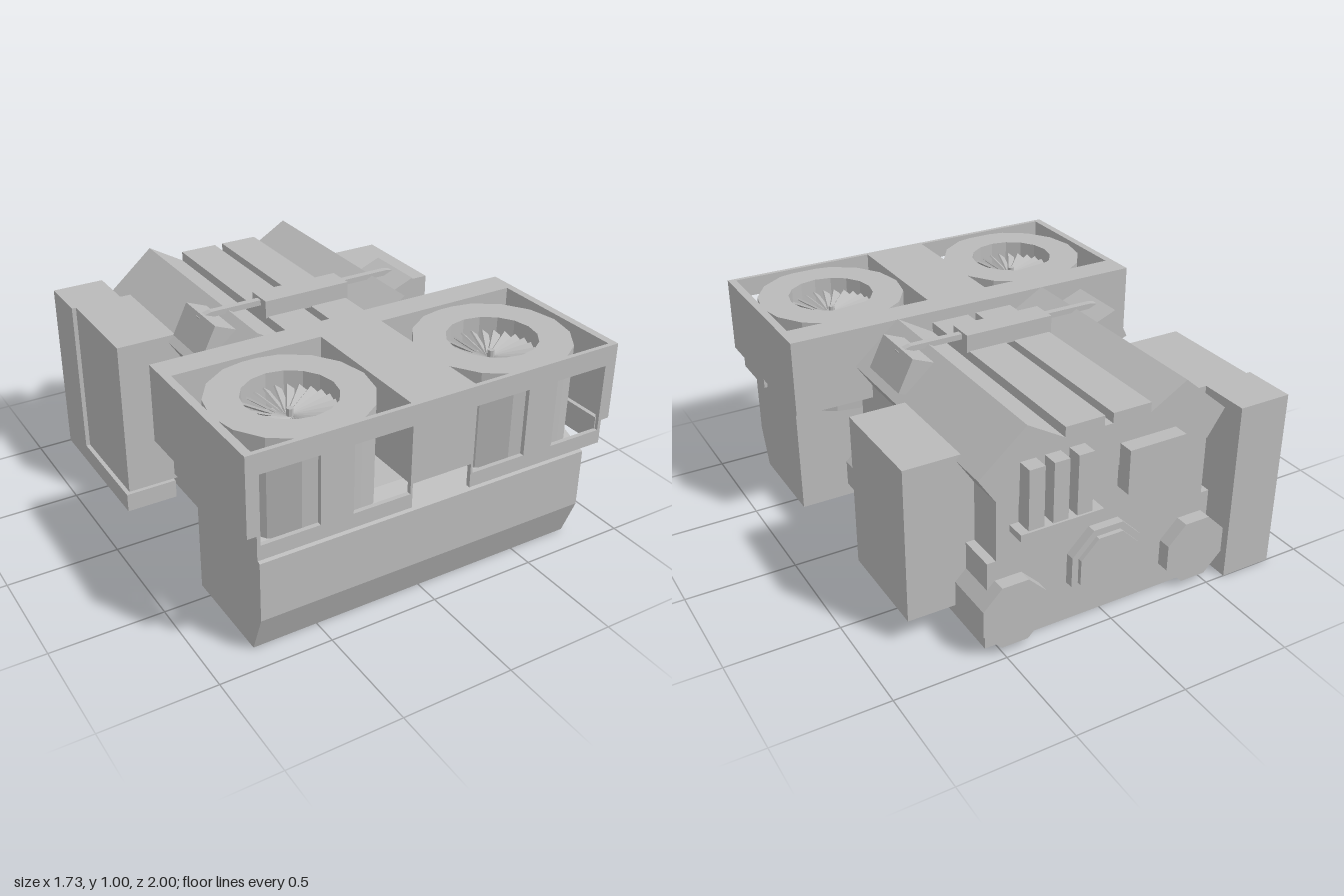
import * as THREE from 'three';

export function createModel() {
  const model = new THREE.Group();
  const grey = new THREE.MeshStandardMaterial({ color: 0xbababa });
  grey.name = 'plain grey';

  function add(name, geometry, parent = model) {
    // Unshared corners with per-face normals keep every facet crisp
    const g = geometry.index ? geometry.toNonIndexed() : geometry;
    g.computeVertexNormals();
    const mesh = new THREE.Mesh(g, grey);
    mesh.name = name;
    parent.add(mesh);
    return mesh;
  }
  // Box given by its limits on each axis
  function box(name, x0, x1, y0, y1, z0, z1, parent) {
    const g = new THREE.BoxGeometry(x1 - x0, y1 - y0, z1 - z0);
    g.translate((x0 + x1) / 2, (y0 + y1) / 2, (z0 + z1) / 2);
    return add(name, g, parent);
  }
  const outline = (pts) => new THREE.Shape(pts.map(([x, y]) => new THREE.Vector2(x, y)));
  // Cross-section in x and y, run from z0 to z1
  function prism(name, shape, z0, z1, parent) {
    const g = new THREE.ExtrudeGeometry(shape, { depth: z1 - z0, bevelEnabled: false });
    g.translate(0, 0, z0);
    return add(name, g, parent);
  }
  // Mirror a right-hand half section into a full closed outline
  const symmetric = (half) => outline([...half, ...half.slice().reverse().map(([x, y]) => [-x, y])]);
  const flip = (pts, s) => outline(pts.map(([x, y]) => [s * x, y]));
  // Eight-sided bar along z with flat sides upright
  function octagon(name, x, y, r, z0, z1) {
    const g = new THREE.CylinderGeometry(r / Math.cos(Math.PI / 8), r / Math.cos(Math.PI / 8), z1 - z0, 8);
    g.rotateY(Math.PI / 8);
    g.rotateX(Math.PI / 2);
    g.translate(x, y, (z0 + z1) / 2);
    return add(name, g);
  }

  // Front tank with chamfered nose
  const tank = new THREE.ExtrudeGeometry(
    outline([[0.42, 0], [0.88, 0], [0.95, 0.18], [0.95, 0.45], [0.81, 0.51], [0.42, 0.51]]),
    { depth: 1.58, bevelEnabled: false });
  tank.translate(0, 0, -0.79);
  tank.rotateY(-Math.PI / 2);
  add('frontTank', tank);
  box('upperConnector', -0.45, 0.45, 0.32, 0.41, 0.3, 0.43);
  box('lowerConnector', -0.45, 0.45, 0.1, 0.2, 0.3, 0.43);

  // Engine block
  box('basePlate', -0.55, 0.55, 0, 0.07, -0.91, 0.32);
  prism('engineBlock', symmetric([[0.47, 0.06], [0.47, 0.28], [0.54, 0.28], [0.54, 0.41],
    [0.5, 0.41], [0.5, 0.69]]), -0.91, 0.32);
  prism('upperBlock', symmetric([[0.5, 0.68], [0.58, 0.8], [0.37, 0.98], [0.2, 0.88]]), -0.915, 0.18);
  for (const s of [-1, 1]) {
    box('valleyPlate', s < 0 ? -0.2 : 0.02, s < 0 ? -0.02 : 0.2, 0.86, 0.925, -0.915, 0.18);
    octagon('sideTube', s * 0.445, 0.175, 0.145, -0.97, 0.34);
    prism('bankCap', flip([[0.4, 0.95], [0.47, 0.81], [0.57, 0.85], [0.5, 0.99]], s), -0.23, 0.05);
  }

  // Crossbar over the banks
  prism('crossbar', symmetric([[0.51, 0.965], [0.51, 0.975], [0.45, 0.99]]), -0.115, -0.085);
  box('crossbarBlock', -0.21, 0.21, 0.92, 1, -0.16, -0.04);

  // Rear fittings
  octagon('rearCover', 0, 0.26, 0.17, -0.95, -0.9);
  octagon('rearCoverCap', 0, 0.26, 0.14, -0.97, -0.94);
  box('rearShelf', 0.06, 0.44, 0.53, 0.56, -0.995, -0.9);
  for (const x of [0.11, 0.22, 0.33]) box('rearPost', x, x + 0.07, 0.56, 0.83, -0.985, -0.9);
  box('rearBox', -0.33, -0.06, 0.58, 0.78, -0.985, -0.9);

  // Side boxes
  box('leftSideBox', 0.5, 0.805, 0.12, 0.82, -0.74, -0.26);
  box('rightTower', -0.84, -0.595, 0, 0.83, -1, -0.76);
  box('rightCabinet', -0.82, -0.5, 0.09, 0.83, -0.77, -0.27);
  box('rightFoot', -0.84, -0.595, 0, 0.09, -0.77, -0.25);

  // Fan housing: rear and middle blocks, side walls, front panel with windows
  const housing = new THREE.Group();
  housing.name = 'fanHousing';
  model.add(housing);
  box('rearBeam', -0.865, 0.865, 0.62, 0.97, 0.195, 0.325, housing);
  box('middleBeam', -0.15, 0.15, 0.62, 0.97, 0.32, 0.985, housing);
  const panel = symmetric([[0.14, 0.62], [0.14, 0.51], [0.825, 0.51], [0.825, 0.62], [0.865, 0.62], [0.865, 0.97]]);
  for (const s of [-1, 1]) {
    for (const [a, b] of [[0.15, 0.41], [0.555, 0.81]]) {
      panel.holes.push(flip([[a, 0.575], [a, 0.88], [b, 0.88], [b, 0.575]], s));
    }
    box('sideWall', s < 0 ? -0.865 : 0.83, s < 0 ? -0.83 : 0.865, 0.62, 0.97, 0.32, 0.985, housing);
    box('lowerSkirt', s < 0 ? -0.825 : 0.805, s < 0 ? -0.805 : 0.825, 0.51, 0.63, 0.73, 0.985, housing);
  }
  prism('frontPanel', panel, 0.98, 1, housing);

  // Fans: ring drum, floor, hub and raked blades
  for (const s of [-1, 1]) {
    const fan = new THREE.Group();
    fan.name = 'fan';
    fan.position.set(s * 0.487, 0, 0.655);
    model.add(fan);
    const ring = [[0.195, 0.51], [0.337, 0.51], [0.337, 0.95], [0.195, 0.95], [0.195, 0.51]];
    add('fanDrum', new THREE.LatheGeometry(ring.map(([r, y]) => new THREE.Vector2(r, y)), 16), fan);
    const floor = new THREE.CylinderGeometry(0.2, 0.2, 0.02, 16);
    floor.translate(0, 0.78, 0);
    add('fanFloor', floor, fan);
    const hub = new THREE.CylinderGeometry(0.015, 0.015, 0.1, 8);
    hub.translate(0, 0.84, 0);
    add('fanHub', hub, fan);
    for (let i = 0; i < 24; i++) {
      const blade = new THREE.BoxGeometry(0.185, 0.008, 0.04);
      blade.rotateX(0.7);
      blade.rotateZ(0.2);
      blade.translate(0.1, 0.86, 0);
      blade.rotateY(i * Math.PI / 12);
      add('fanBlade', blade, fan);
    }
  }
  return model;
}
